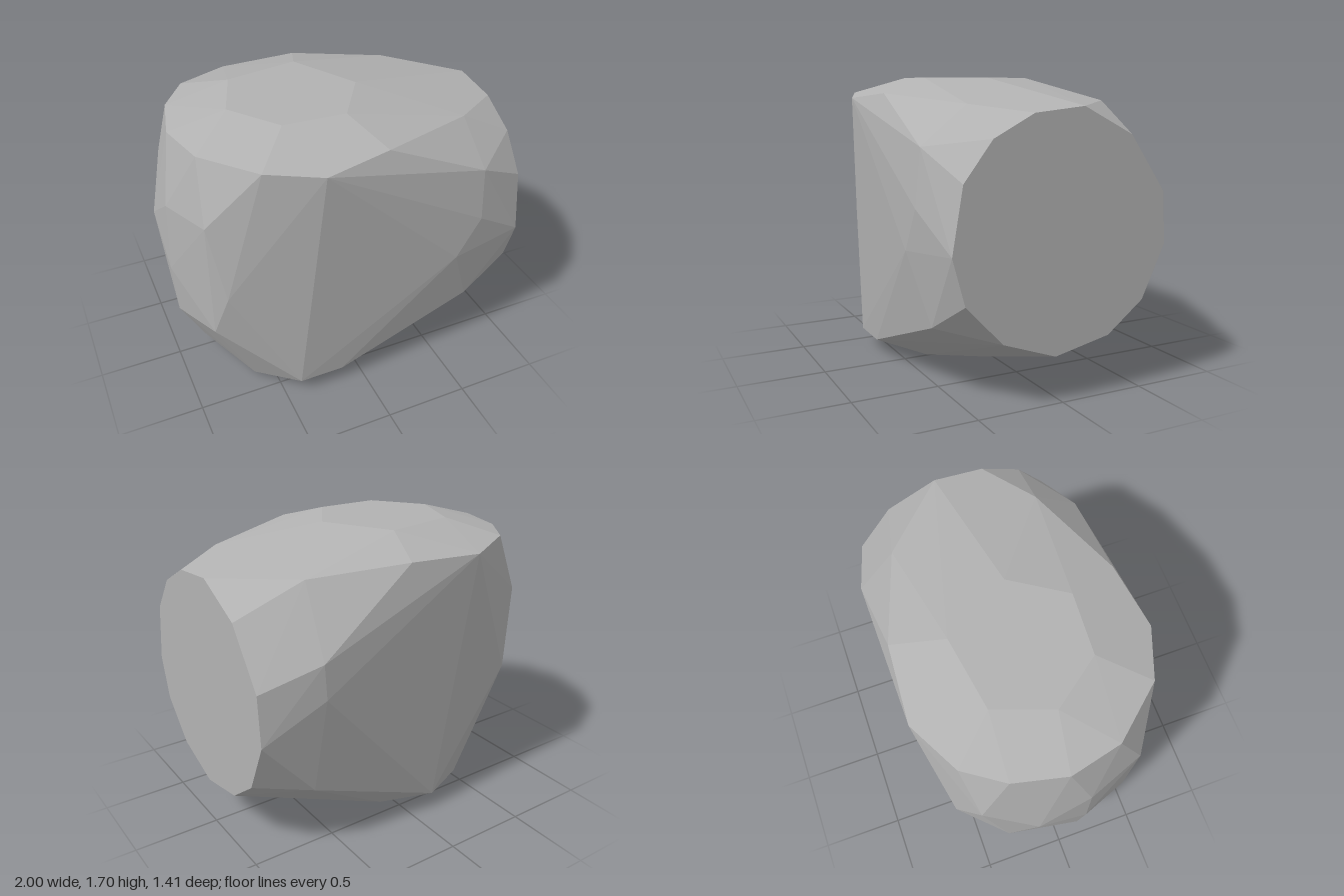
import * as THREE from 'three';
import { ConvexGeometry } from 'three/addons/geometries/ConvexGeometry.js';

export function createModel() {
  const group = new THREE.Group();
  const stone = new THREE.MeshStandardMaterial({ color: 0xb2b2b2, flatShading: true });
  stone.name = 'stone grey';

  const points = [];
  const add = (list) => list.forEach(([x, y, z]) => points.push(new THREE.Vector3(x, y, z)));

  // flat cut end, as [z, y] around the rim
  add([[0.42, 1.4], [0.19, 1.52], [-0.1, 1.55], [-0.4, 1.4], [-0.62, 1.09], [-0.64, 0.8], [-0.5, 0.5],
    [-0.28, 0.33], [0.05, 0.26], [0.36, 0.37], [0.57, 0.59], [0.64, 0.84], [0.58, 1.19]]
    .map(([z, y]) => [1, y, z]));

  // flat top and bottom, as [x, z]
  const cap = [[-0.46, -0.28], [-0.03, -0.35], [0.19, 0.04], [-0.01, 0.35], [-0.37, 0.33], [-0.58, 0.05]];
  add(cap.map(([x, z]) => [x, 1.7, z]));
  add(cap.map(([x, z]) => [x, 0, z]));

  // upper rim
  add([[-0.9, 1.61, 0], [-0.83, 1.61, 0.3], [-0.58, 1.61, 0.59], [-0.28, 1.58, 0.705], [0.1, 1.61, 0.64],
    [0.69, 1.56, 0.41], [-0.83, 1.61, -0.3], [-0.68, 1.61, -0.52], [-0.37, 1.59, -0.68],
    [0.08, 1.61, -0.65], [0.62, 1.57, -0.47]]);

  // lower rim
  add([[-0.82, 0.09, 0], [-0.63, 0.05, 0.4], [-0.41, 0.1, 0.63], [-0.14, 0.1, 0.63], [0.7, 0.41, 0.62],
    [-0.68, 0.09, -0.33], [-0.44, 0.09, -0.5], [-0.15, 0.1, -0.63], [0.14, 0.07, -0.49], [0.68, 0.43, -0.62]]);

  // front and back bulges
  add([[0.69, 1.35, 0.67], [0.69, 1.04, 0.7], [0.55, 0.8, 0.7], [-0.79, 0.81, 0.53],
    [0.66, 1.2, -0.705], [0.65, 1, -0.71], [-0.71, 0.8, -0.59]]);

  // rounded end
  add([[-0.86, 1.26, 0.45], [-0.86, 0.53, 0.45], [-0.98, 1.23, 0.12], [-0.98, 0.46, 0.1], [-1, 0.8, 0.12],
    [-1, 1, -0.18], [-0.87, 1.24, -0.47], [-0.91, 0.5, -0.33]]);

  const rock = new THREE.Mesh(new ConvexGeometry(points), stone);
  rock.name = 'rock';
  group.add(rock);
  return group;
}
